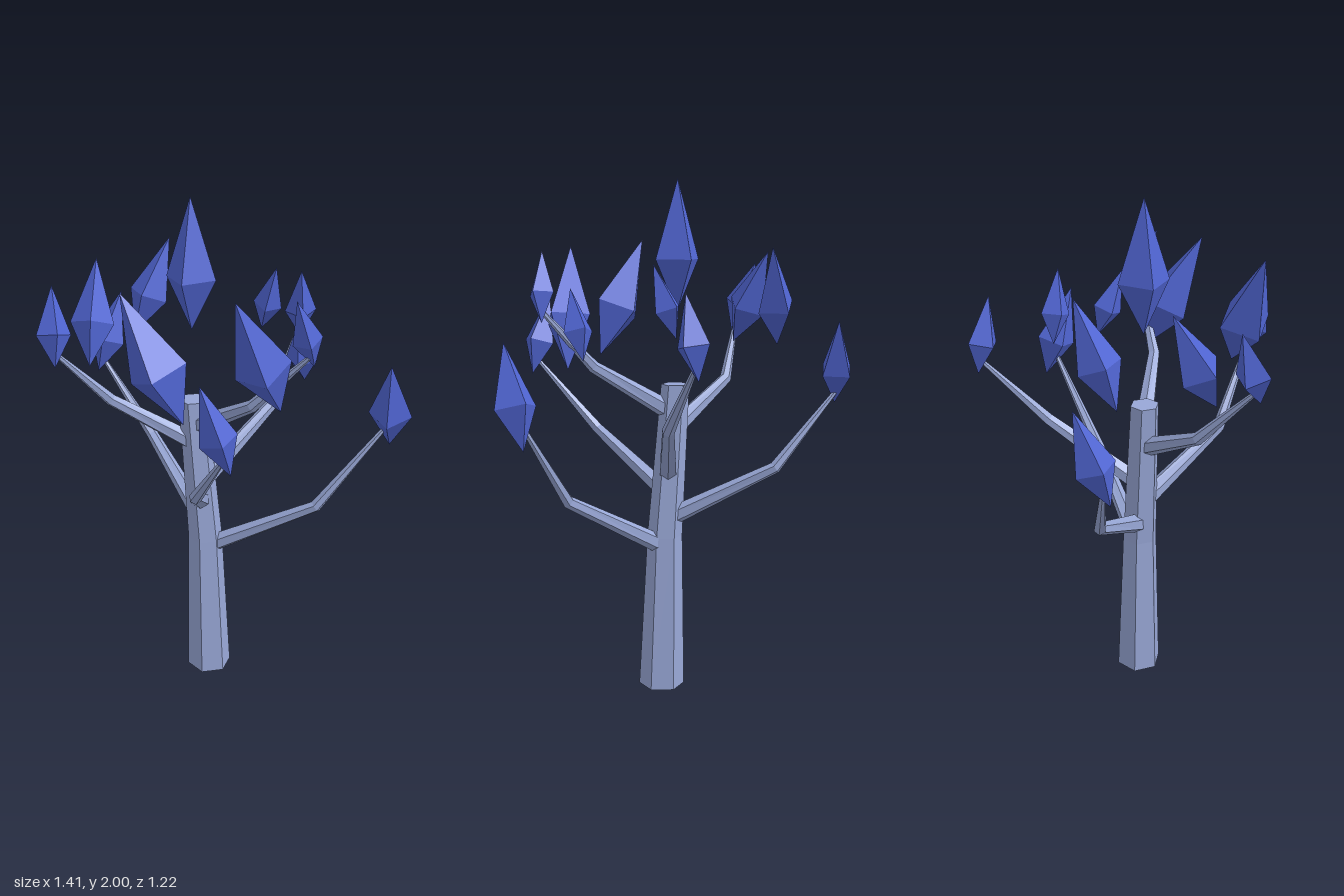
import * as THREE from 'three';

const V = (a) => new THREE.Vector3(...a);

// Faceted tapered limb through a list of points, capped at both ends
function limb(points, radii, sides, ref, fixedAxis) {
  const pts = points.map(V);
  const rings = pts.map((p, i) => {
    const t = fixedAxis
      ? fixedAxis.clone()
      : pts[Math.min(i + 1, pts.length - 1)].clone().sub(pts[Math.max(i - 1, 0)]).normalize();
    const u = ref.clone().addScaledVector(t, -ref.dot(t)).normalize();
    const v = t.clone().cross(u);
    return Array.from({ length: sides }, (_, j) => {
      const a = (j / sides) * Math.PI * 2;
      return p.clone()
        .addScaledVector(u, Math.cos(a) * radii[i])
        .addScaledVector(v, Math.sin(a) * radii[i]);
    });
  });
  const out = [];
  const tri = (...c) => c.forEach((p) => out.push(p.x, p.y, p.z));
  const last = rings.length - 1;
  for (let j = 0; j < sides; j++) {
    const k = (j + 1) % sides;
    for (let i = 0; i < last; i++) {
      tri(rings[i][j], rings[i][k], rings[i + 1][k]);
      tri(rings[i][j], rings[i + 1][k], rings[i + 1][j]);
    }
    tri(pts[0], rings[0][k], rings[0][j]);
    tri(pts[last], rings[last][j], rings[last][k]);
  }
  const g = new THREE.BufferGeometry();
  g.setAttribute('position', new THREE.Float32BufferAttribute(out, 3));
  g.computeVertexNormals();
  return g;
}

// Four-sided crystal leaf from its lower point to its tip
function leafGeometry(bottom, tip, radius, twist) {
  const b = V(bottom);
  const axis = V(tip).sub(b);
  const len = axis.length();
  const profile = [[0, 0], [radius, 0.4 * len], [0, len]].map((p) => new THREE.Vector2(...p));
  const g = new THREE.LatheGeometry(profile, 4).toNonIndexed();
  g.computeVertexNormals();
  g.rotateY(THREE.MathUtils.degToRad(twist));
  g.applyQuaternion(new THREE.Quaternion().setFromUnitVectors(new THREE.Vector3(0, 1, 0), axis.normalize()));
  g.translate(b.x, b.y, b.z);
  return g;
}

export function createModel() {
  const group = new THREE.Group();
  const bark = new THREE.MeshStandardMaterial({ color: 0x98a7d6 });
  bark.name = 'pale blue bark';
  const foliage = new THREE.MeshStandardMaterial({ color: 0x5166d4 });
  foliage.name = 'blue foliage';
  const add = (name, geometry, material) => {
    const m = new THREE.Mesh(geometry, material);
    m.name = name;
    group.add(m);
  };
  const up = new THREE.Vector3(0, 1, 0);

  // Leaning hexagonal trunk
  add('trunk', limb(
    [[-0.053, 0, -0.012], [-0.066, 0.62, -0.012], [-0.113, 1.22, -0.01]],
    [0.09, 0.069, 0.055], 6, new THREE.Vector3(0, 0, 1), up), bark);

  // Branches: root, elbow, end
  [
    [[-0.07, 0.57, -0.015], [0.38, 0.82, -0.045], [0.62, 1.16, -0.15]],
    [[-0.08, 0.79, 0], [0.03, 1.0, 0.355], [0.2, 1.27, 0.545]],
    [[-0.1, 1.11, -0.01], [0.17, 1.29, 0.13], [0.38, 1.51, 0.145]],
    [[-0.09, 1.03, -0.01], [-0.415, 1.21, 0.08], [-0.565, 1.43, 0.22]],
    [[-0.08, 0.69, -0.02], [-0.4, 0.905, -0.28], [-0.645, 1.2, -0.345]],
    [[-0.075, 0.87, -0.02], [0.115, 1.105, -0.32], [0.155, 1.36, -0.55]],
  ].forEach((p, i) => add(`branch${i + 1}`, limb(p, [0.038, 0.024, 0.009], 6, up), bark));

  // Leaves: lower point, tip, radius, twist in degrees
  [
    [[-0.116, 1.5, -0.015], [-0.116, 2, -0.015], 0.097, 0],
    [[0.625, 1.06, -0.19], [0.635, 1.43, -0.066], 0.082, 3],
    [[0.23, 1.22, 0.55], [0.13, 1.545, 0.58], 0.068, 31],
    [[0, 1.3, 0.385], [-0.215, 1.765, 0.405], 0.108, 10],
    [[0.28, 1.285, 0.135], [0.165, 1.745, 0.32], 0.105, 22],
    [[0.395, 1.47, 0.12], [0.347, 1.733, 0.205], 0.055, 27],
    [[0.315, 1.34, -0.055], [0.31, 1.6, 0.05], 0.059, 0],
    [[0.07, 1.43, -0.3], [0.14, 1.695, -0.255], 0.056, 8],
    [[-0.44, 1.375, -0.225], [-0.325, 1.75, -0.335], 0.08, 0],
    [[0.155, 1.315, -0.57], [0.17, 1.61, -0.51], 0.065, 25],
    [[-0.655, 1.145, -0.32], [-0.58, 1.475, -0.42], 0.073, 5],
    [[-0.48, 1.355, 0.12], [-0.515, 1.725, -0.06], 0.083, 20],
    [[-0.56, 1.385, 0.245], [-0.605, 1.67, 0.145], 0.066, 40],
  ].forEach((l, i) => add(`leaf${i + 1}`, leafGeometry(...l), foliage));

  return group;
}
